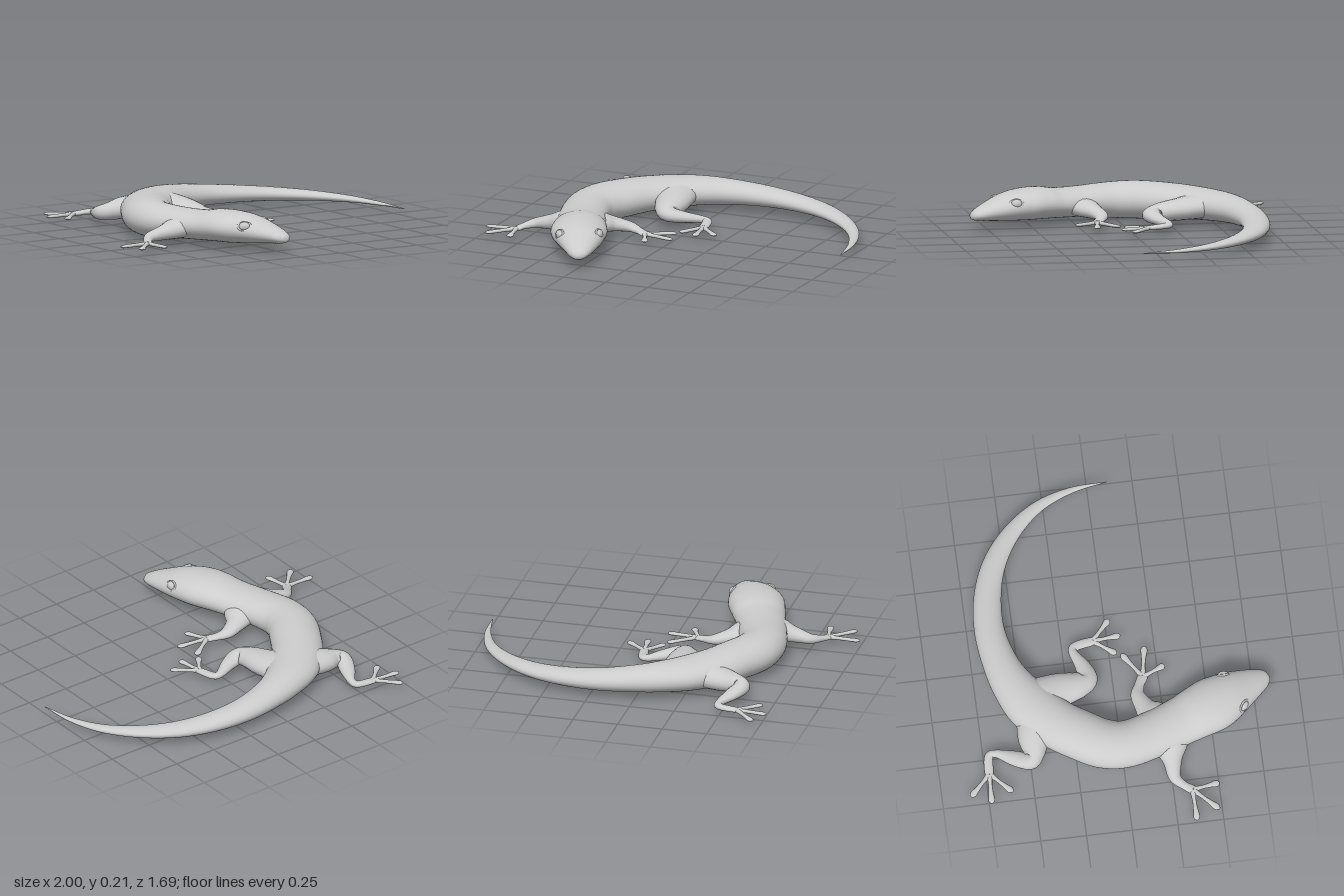
import * as THREE from 'three';

const material = new THREE.MeshStandardMaterial({ color: 0xcccccc, roughness: 0.8 });

// Smooth tube of elliptical sections; each station is [x, z, half width, bottom y, top y]
function loft(name, stations, rings, sides) {
  const path = new THREE.CatmullRomCurve3(
    stations.map(([x, z, , b, t]) => new THREE.Vector3(x, (b + t) / 2, z)), false, 'catmullrom', 0.5);
  const size = new THREE.CatmullRomCurve3(
    stations.map(([, , w, b, t]) => new THREE.Vector3(w, (t - b) / 2, 0)), false, 'catmullrom', 0.5);
  const positions = [], index = [];
  const side = new THREE.Vector3(), up = new THREE.Vector3(0, 1, 0);
  for (let i = 0; i <= rings; i++) {
    const t = i / rings, c = path.getPoint(t), s = size.getPoint(t);
    side.crossVectors(path.getTangent(t), up).normalize();
    for (let j = 0; j < sides; j++) {
      const a = (j / sides) * Math.PI * 2;
      const w = Math.max(s.x, 0.0005) * Math.cos(a), h = Math.max(s.y, 0.0005) * Math.sin(a);
      positions.push(c.x + side.x * w, c.y + h, c.z + side.z * w);
      if (i < rings) {
        const p = i * sides + j, q = i * sides + (j + 1) % sides;
        index.push(p, p + sides, q, q, p + sides, q + sides);
      }
    }
  }
  // Close both ends
  for (let j = 1; j < sides - 1; j++) {
    const e = rings * sides;
    index.push(0, j, j + 1, e, e + j + 1, e + j);
  }
  const geometry = new THREE.BufferGeometry();
  geometry.setAttribute('position', new THREE.Float32BufferAttribute(positions, 3));
  geometry.setIndex(index);
  geometry.computeVertexNormals();
  const mesh = new THREE.Mesh(geometry, material);
  mesh.name = name;
  return mesh;
}

// Leg with three slender toes that swell towards the tip
function leg(name, stations, toes) {
  const group = new THREE.Group();
  group.name = name;
  group.add(loft(name + 'Limb', stations, 48, 20));
  const [px, pz] = stations[stations.length - 2];
  toes.forEach(([x, z], k) => {
    const at = (f, w, b, t) => [px + (x - px) * f, pz + (z - pz) * f, w, b, t];
    group.add(loft(name + 'Toe' + (k + 1), [
      at(0, 0.018, 0.027, 0.05), at(0.35, 0.011, 0.027, 0.047), at(0.65, 0.014, 0.026, 0.045),
      at(0.86, 0.019, 0.026, 0.043), at(0.96, 0.012, 0.028, 0.04), at(1, 0.001, 0.033, 0.035),
    ], 20, 10));
  });
  return group;
}

export function createModel() {
  const model = new THREE.Group();
  model.name = 'lizard';

  // Head, trunk and curling tail in one sweep
  model.add(loft('body', [
    [-0.237, 0.845, 0.002, 0.07, 0.08],
    [-0.24, 0.835, 0.03, 0.057, 0.098],
    [-0.248, 0.808, 0.054, 0.05, 0.115],
    [-0.272, 0.745, 0.084, 0.045, 0.145],
    [-0.32, 0.635, 0.127, 0.036, 0.186],
    [-0.37, 0.53, 0.153, 0.03, 0.203],
    [-0.41, 0.43, 0.147, 0.028, 0.203],
    [-0.445, 0.34, 0.137, 0.026, 0.189],
    [-0.495, 0.2, 0.132, 0.02, 0.188],
    [-0.538, 0.03, 0.132, 0.004, 0.198],
    [-0.52, -0.1, 0.138, 0, 0.205],
    [-0.455, -0.22, 0.14, 0.004, 0.205],
    [-0.375, -0.34, 0.14, 0.012, 0.199],
    [-0.255, -0.46, 0.14, 0.02, 0.19],
    [-0.13, -0.54, 0.117, 0.026, 0.182],
    [0.01, -0.594, 0.097, 0.03, 0.168],
    [0.2, -0.628, 0.083, 0.032, 0.146],
    [0.4, -0.615, 0.075, 0.033, 0.125],
    [0.59, -0.555, 0.064, 0.033, 0.106],
    [0.76, -0.44, 0.049, 0.033, 0.088],
    [0.895, -0.28, 0.033, 0.033, 0.07],
    [0.97, -0.09, 0.018, 0.034, 0.054],
    [0.997, 0.11, 0.002, 0.037, 0.041],
  ], 176, 40));

  // Front legs
  model.add(leg('frontRightLeg', [
    [-0.46, 0.27, 0.12, 0.04, 0.16], [-0.58, 0.262, 0.092, 0.034, 0.146],
    [-0.66, 0.262, 0.052, 0.032, 0.115], [-0.745, 0.265, 0.034, 0.03, 0.085],
    [-0.795, 0.31, 0.023, 0.028, 0.063], [-0.822, 0.352, 0.025, 0.026, 0.05],
    [-0.84, 0.375, 0.004, 0.032, 0.042],
  ], [[-1, 0.355], [-0.95, 0.485], [-0.798, 0.503]]));
  model.add(leg('frontLeftLeg', [
    [-0.46, 0.23, 0.12, 0.04, 0.16], [-0.385, 0.19, 0.092, 0.034, 0.14],
    [-0.325, 0.152, 0.056, 0.032, 0.112], [-0.25, 0.125, 0.04, 0.03, 0.085],
    [-0.19, 0.14, 0.027, 0.028, 0.063], [-0.142, 0.165, 0.027, 0.026, 0.05],
    [-0.115, 0.172, 0.004, 0.032, 0.042],
  ], [[0.005, 0.065], [0.035, 0.195], [-0.088, 0.292]]));

  // Hind legs, folded at the knee
  model.add(leg('hindRightLeg', [
    [-0.34, -0.43, 0.125, 0.035, 0.17], [-0.44, -0.465, 0.092, 0.034, 0.155],
    [-0.525, -0.477, 0.058, 0.034, 0.132], [-0.562, -0.505, 0.047, 0.033, 0.115],
    [-0.53, -0.585, 0.043, 0.032, 0.09], [-0.487, -0.68, 0.022, 0.03, 0.068],
    [-0.5, -0.722, 0.024, 0.028, 0.06], [-0.595, -0.73, 0.024, 0.026, 0.05],
    [-0.62, -0.73, 0.004, 0.032, 0.042],
  ], [[-0.713, -0.845], [-0.765, -0.737], [-0.712, -0.615]]));
  model.add(leg('hindLeftLeg', [
    [-0.22, -0.4, 0.125, 0.035, 0.17], [-0.185, -0.3, 0.1, 0.034, 0.155],
    [-0.162, -0.19, 0.075, 0.034, 0.135], [-0.128, -0.135, 0.056, 0.033, 0.115],
    [-0.05, -0.152, 0.042, 0.032, 0.092], [0.04, -0.193, 0.024, 0.03, 0.068],
    [0.075, -0.175, 0.026, 0.028, 0.06], [0.095, -0.08, 0.024, 0.026, 0.05],
    [0.1, -0.055, 0.004, 0.032, 0.042],
  ], [[0.008, 0.042], [0.112, 0.075], [0.212, 0.025]]));

  // Bulging eyes with a lid rim, set across the slanted head
  const head = new THREE.Group();
  head.name = 'eyes';
  head.position.set(-0.318, 0.137, 0.64);
  head.rotation.y = Math.atan2(0.43, 0.9);
  for (const s of [1, -1]) {
    const eye = new THREE.Group();
    eye.name = s > 0 ? 'leftEye' : 'rightEye';
    eye.position.set(s * 0.107, 0.003, 0);
    eye.rotation.set(0, s * 1.12, 0);
    const ball = new THREE.Mesh(new THREE.SphereGeometry(0.03, 24, 16), material);
    ball.name = 'eyeball';
    ball.scale.set(1, 0.8, 0.62);
    const lid = new THREE.Mesh(new THREE.TorusGeometry(0.032, 0.006, 8, 28), material);
    lid.name = 'eyelid';
    lid.scale.set(1.1, 0.8, 1);
    lid.rotation.x = -0.45;
    eye.add(ball, lid);
    head.add(eye);
  }
  model.add(head);
  return model;
}
